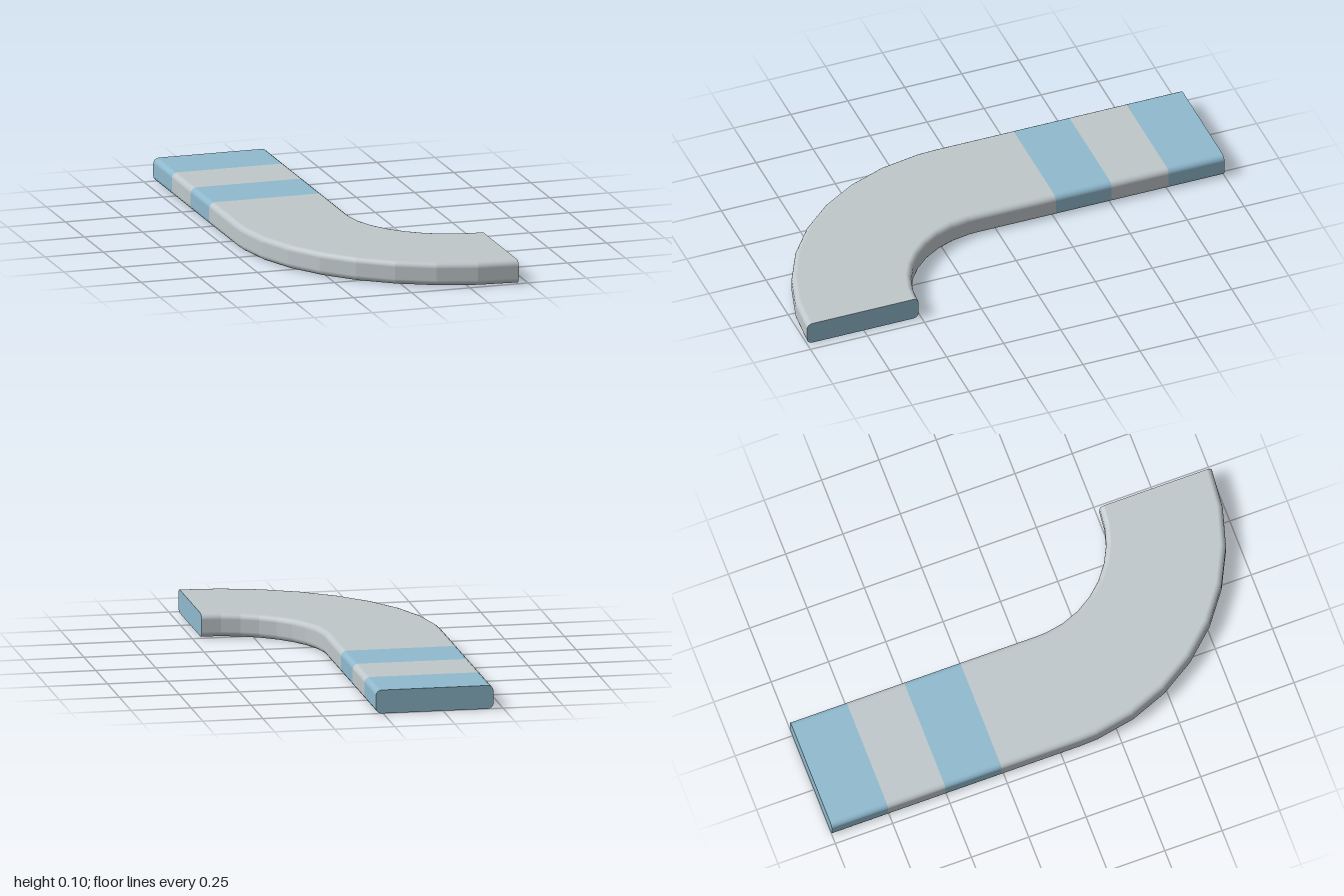
import * as THREE from 'three';

const blue = new THREE.MeshStandardMaterial({ color: 0x8fb9ce });
blue.name = 'soft blue';
const grey = new THREE.MeshStandardMaterial({ color: 0xbfc7ca });
grey.name = 'light grey';

const HALF = 0.245, HEIGHT = 0.098, FILLET = 0.024;
const BEND = { x: 0.46, z: 0.08, r: 0.675 };

// Rounded rectangle cross-section: s runs across the strip, y up, with normals
function makeProfile() {
  const pts = [];
  const corners = [[1, 1], [-1, 1], [-1, -1], [1, -1]];
  corners.forEach(([cs, cy], k) => {
    for (let i = 0; i <= 4; i++) {
      const a = (k + i / 4) * Math.PI / 2;
      const ns = Math.cos(a), ny = Math.sin(a);
      pts.push({
        s: cs * (HALF - FILLET) + ns * FILLET,
        y: HEIGHT / 2 + cy * (HEIGHT / 2 - FILLET) + ny * FILLET,
        ns, ny,
      });
    }
  });
  return pts;
}
const profile = makeProfile();

// Stations along the centre line; angle turns the cross-section
const straight = (z) => ({ x: BEND.x - BEND.r, z, angle: 0 });
const curved = (deg) => {
  const angle = THREE.MathUtils.degToRad(deg);
  return { x: BEND.x - BEND.r * Math.cos(angle), z: BEND.z + BEND.r * Math.sin(angle), angle };
};
const place = (st, p) => [st.x - Math.cos(st.angle) * p.s, p.y, st.z + Math.sin(st.angle) * p.s];

function toGeometry(pos, nor) {
  const g = new THREE.BufferGeometry();
  g.setAttribute('position', new THREE.Float32BufferAttribute(pos, 3));
  g.setAttribute('normal', new THREE.Float32BufferAttribute(nor, 3));
  return g;
}

// Sweep: smooth around the section, faceted from station to station
function sweep(stations) {
  const pos = [], nor = [];
  for (let j = 0; j < stations.length - 1; j++) {
    const A = stations[j], B = stations[j + 1];
    const mid = (A.angle + B.angle) / 2;
    profile.forEach((p, i) => {
      const q = profile[(i + 1) % profile.length];
      for (const [st, v] of [[A, p], [B, p], [A, q], [A, q], [B, p], [B, q]]) {
        pos.push(...place(st, v));
        nor.push(-Math.cos(mid) * v.ns, v.ny, Math.sin(mid) * v.ns);
      }
    });
  }
  return toGeometry(pos, nor);
}

// Flat end face; dir is -1 at the start of the path and 1 at its end
function cap(st, dir) {
  const pos = [], nor = [];
  for (let i = 1; i < profile.length - 1; i++) {
    const tri = dir < 0 ? [0, i, i + 1] : [0, i + 1, i];
    for (const k of tri) {
      pos.push(...place(st, profile[k]));
      nor.push(dir * Math.sin(st.angle), 0, dir * Math.cos(st.angle));
    }
  }
  return toGeometry(pos, nor);
}

export function createModel() {
  const model = new THREE.Group();
  model.name = 'curvedStrip';
  const add = (name, geometry, material) => {
    const mesh = new THREE.Mesh(geometry, material);
    mesh.name = name;
    model.add(mesh);
  };

  // Straight banded section
  const cuts = [-1, -0.755, -0.505, -0.26];
  const names = ['endBand', 'gapBand', 'middleBand'];
  names.forEach((name, i) =>
    add(name, sweep([straight(cuts[i]), straight(cuts[i + 1])]), i % 2 ? grey : blue));

  // Plain run and quarter bend
  const bend = [straight(cuts[3]), straight(BEND.z)];
  for (let i = 0; i <= 8; i++) bend.push(curved(5 + (85 * i) / 8));
  add('bend', sweep(bend), grey);

  // End faces
  add('backEndFace', cap(straight(-1), -1), blue);
  add('bendEndFace', cap(curved(90), 1), blue);
  return model;
}
